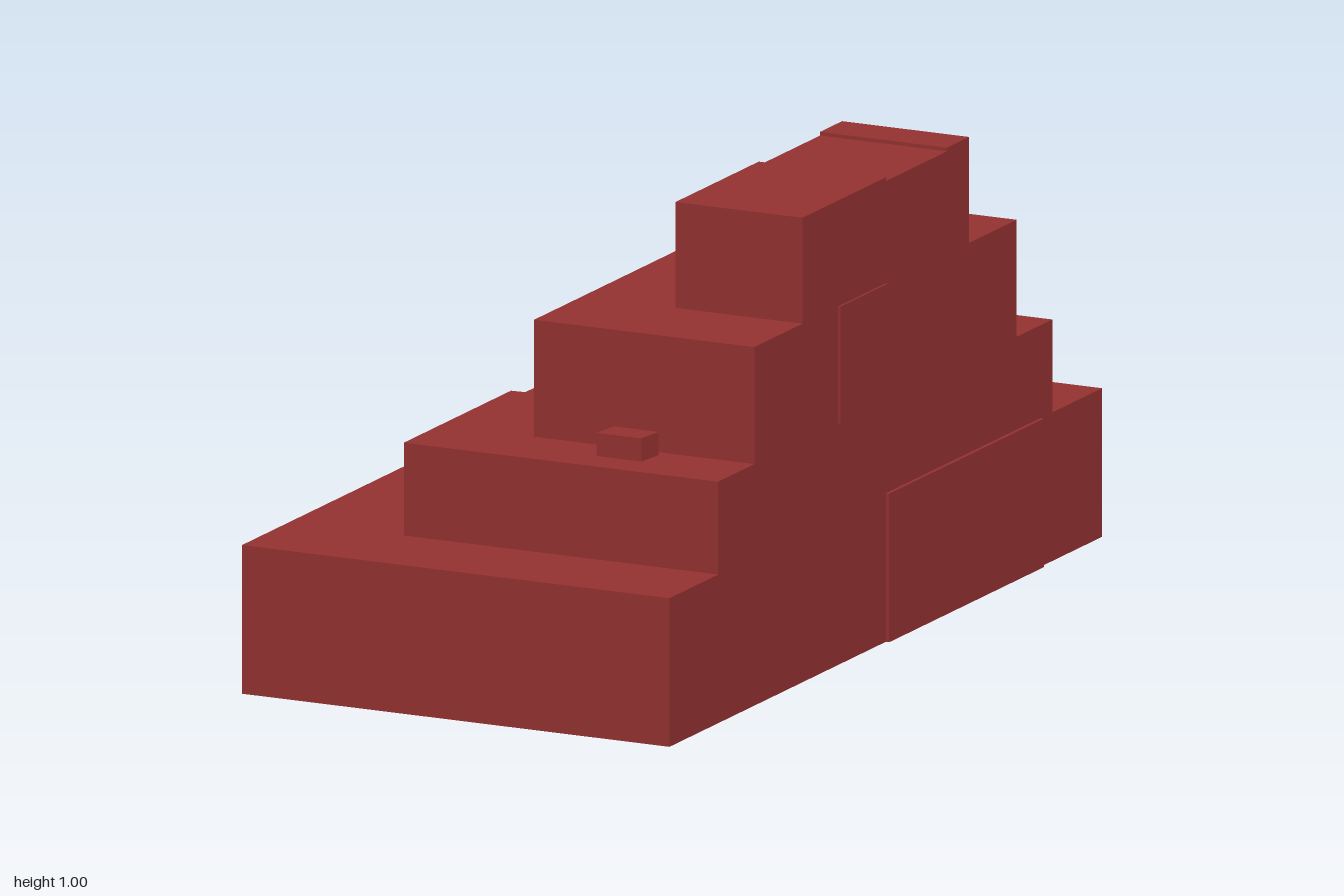
import * as THREE from 'three';

const material = new THREE.MeshStandardMaterial({ color: 0x963232, flatShading: true });

// Upright prism from a plan outline of [x, z] corners
function prism(name, outline, y0, y1) {
  const shape = new THREE.Shape(outline.map(([x, z]) => new THREE.Vector2(x, -z)));
  const geometry = new THREE.ExtrudeGeometry(shape, { depth: y1 - y0, bevelEnabled: false });
  geometry.rotateX(-Math.PI / 2).translate(0, y0, 0);
  const mesh = new THREE.Mesh(geometry, material);
  mesh.name = name;
  return mesh;
}

const rect = (x0, x1, z0, z1) => [[x0, z0], [x1, z0], [x1, z1], [x0, z1]];

export function createModel() {
  const group = new THREE.Group();
  group.name = 'steppedHalfPyramid';

  group.add(
    // Base step with its raised back corner and flat-side panel
    prism('baseStep', rect(-0.5, 0.5, -1, 1), 0, 0.32),
    prism('cornerBlock', [[-0.51, -1], [-0.235, -0.77], [-0.235, -0.56], [-0.51, -0.615]], 0, 0.33),
    prism('lowerSidePanel', rect(0.49, 0.508, -0.715, 0), 0, 0.32),

    // Second step, notched on its stepped side, with a slightly sunken block in the notch
    prism('secondStep', [
      [-0.235, -0.77], [0.5, -0.77], [0.5, 0.775], [-0.235, 0.775],
      [-0.235, 0.28], [-0.015, 0.265], [-0.015, 0], [-0.235, 0],
    ], 0.32, 0.52),
    prism('sunkenBlock', [[-0.215, 0], [-0.015, 0], [-0.015, 0.265], [-0.215, 0.279]], 0.32, 0.513),

    // Small loose block on the front ledge
    prism('looseBlock', [[0.183, 0.63], [0.287, 0.63], [0.28, 0.695], [0.175, 0.695]], 0.52, 0.57),

    // Third step with its flat-side panel
    prism('thirdStep', rect(-0.015, 0.5, -0.605, 0.608), 0.52, 0.772),
    prism('upperSidePanel', rect(0.49, 0.505, 0, 0.22), 0.52, 0.772),

    // Top step in three blocks, the middle one slightly lower
    prism('topFrontBlock', rect(0.203, 0.5, 0, 0.385), 0.772, 1),
    prism('topMiddleBlock', rect(0.203, 0.5, -0.283, 0), 0.772, 0.992),
    prism('topBackBlock', rect(0.203, 0.5, -0.385, -0.283), 0.772, 1),
  );
  return group;
}
